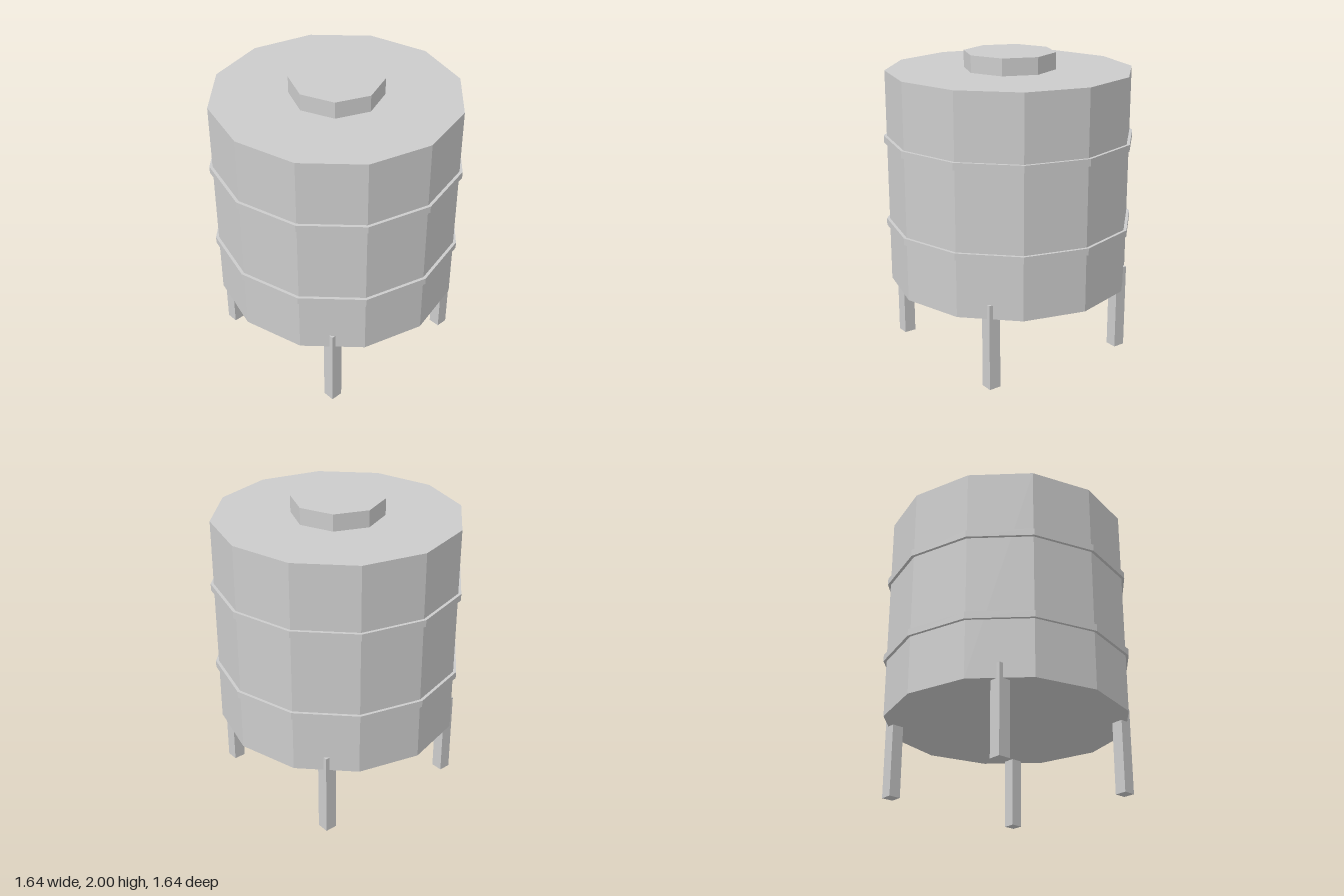
import * as THREE from 'three';

export function createModel() {
  const model = new THREE.Group();
  model.name = 'waterTank';
  const material = new THREE.MeshStandardMaterial({ color: 0xcccccc, flatShading: true });

  const add = (name, geometry, x, y, z) => {
    const mesh = new THREE.Mesh(geometry, material);
    mesh.name = name;
    mesh.position.set(x, y, z);
    model.add(mesh);
  };
  // Upright prism between two heights
  const drum = (name, radius, bottom, top, sides) =>
    add(name, new THREE.CylinderGeometry(radius, radius, top - bottom, sides), 0, (bottom + top) / 2, 0);

  // Twelve-sided tank with an eight-sided lid
  drum('tankBody', 0.8, 0.475, 1.89, 12);
  drum('lid', 0.3, 1.89, 2, 8);

  // Hoops around the tank
  drum('lowerBand', 0.82, 0.855, 0.9, 12);
  drum('upperBand', 0.82, 1.42, 1.465, 12);

  // Four legs whose outer corners break through the tank wall
  const legHeight = 0.57;
  const legGeometry = new THREE.BoxGeometry(0.08, legHeight, 0.08);
  for (const [zName, z] of [['front', 0.52], ['back', -0.52]]) {
    for (const [xName, x] of [['Left', 0.52], ['Right', -0.52]]) {
      add(`${zName}${xName}Leg`, legGeometry, x, legHeight / 2, z);
    }
  }

  return model;
}
